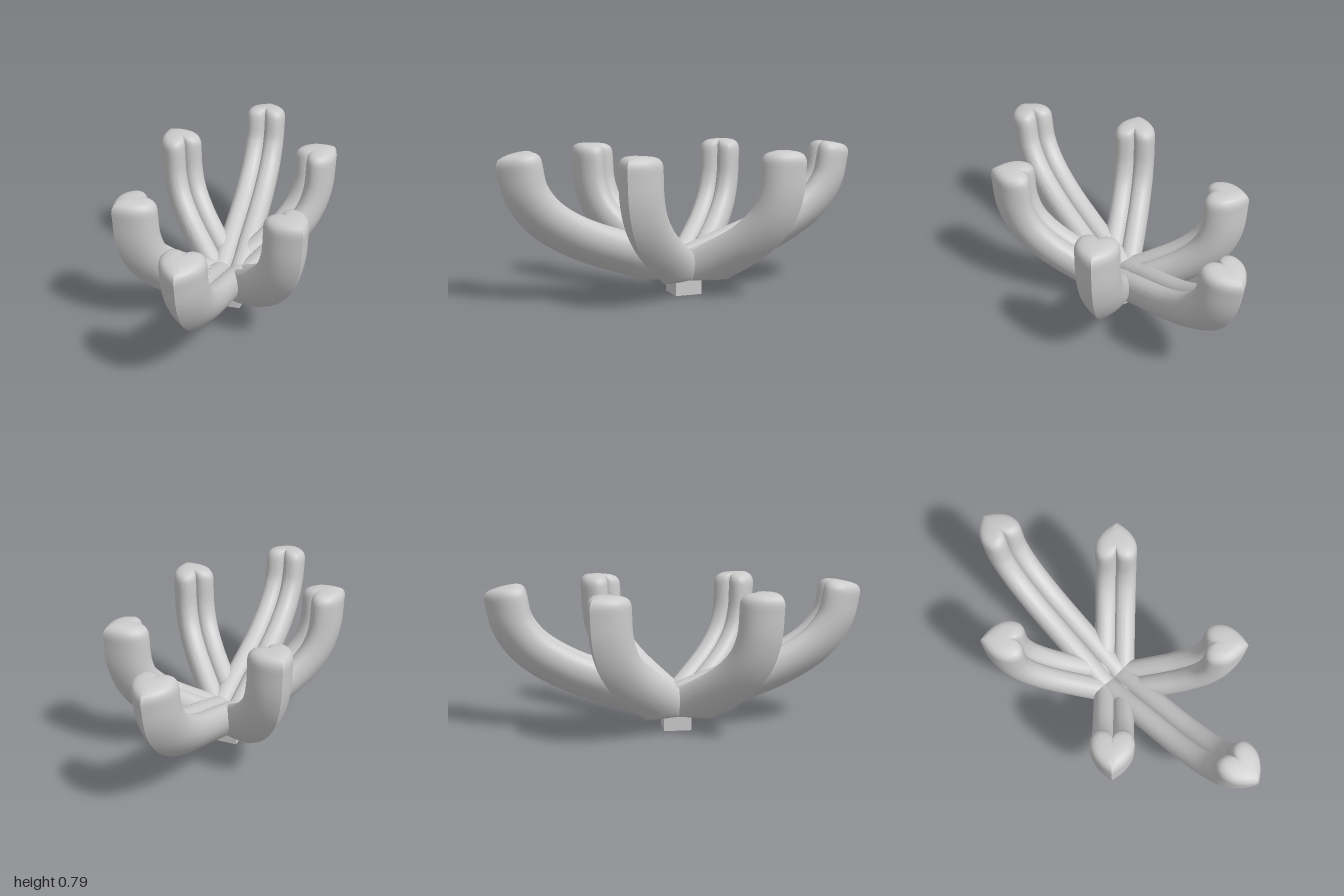
import * as THREE from 'three';
import { toCreasedNormals } from 'three/addons/utils/BufferGeometryUtils.js';

const FLOOR = 0.09; // flat underside shared by all arms

// Heart section: x = sideways, y = outward; pointed keel outward, two lobes inward
function heartSection() {
  const s = new THREE.Shape();
  s.moveTo(0, 0.11);
  s.bezierCurveTo(0.045, 0.085, 0.11, 0.03, 0.11, -0.035);
  s.bezierCurveTo(0.11, -0.08, 0.09, -0.11, 0.055, -0.11);
  s.bezierCurveTo(0.03, -0.11, 0.008, -0.1, 0, -0.075);
  const half = s.getPoints(10);
  const mirrored = half.slice(1, -1).reverse().map((p) => new THREE.Vector2(-p.x, p.y));
  return [...half, ...mirrored];
}

// Sweep the heart along a path of [radius, height] points, with a domed tip
function armGeometry(path, endTangent) {
  const section = heartSection();
  const n = section.length;
  const curve = new THREE.CatmullRomCurve3(path.map(([r, y]) => new THREE.Vector3(0, y, r)));
  const positions = [], index = [];

  const addRing = (c, t, scale) => {
    for (const p of section) {
      const u = p.y * scale;
      positions.push(
        p.x * scale,
        Math.max(FLOOR, c.y - t.z * u),
        Math.max(0, c.z + t.y * u)
      );
    }
  };

  // Body
  const steps = 48;
  const end = new THREE.Vector3(0, endTangent[1], endTangent[0]).normalize();
  for (let i = 0; i <= steps; i++) {
    const k = i / steps;
    const t = curve.getTangentAt(k);
    if (k > 0.85) t.lerp(end, (k - 0.85) / 0.15).normalize();
    addRing(curve.getPointAt(k), t, 1);
  }
  // Rounded tip: [scale, rise]
  const top = curve.getPointAt(1);
  const dome = [[0.98, 0.016], [0.93, 0.03], [0.84, 0.042], [0.68, 0.051], [0.4, 0.056], [0, 0.057]];
  for (const [scale, rise] of dome) addRing(top.clone().addScaledVector(end, rise), end, scale);

  const rings = steps + 1 + dome.length;
  for (let i = 0; i < rings - 1; i++) {
    for (let j = 0; j < n; j++) {
      const a = i * n + j, b = i * n + (j + 1) % n;
      index.push(a, b, b + n, a, b + n, a + n);
    }
  }
  const g = new THREE.BufferGeometry();
  g.setAttribute('position', new THREE.Float32BufferAttribute(positions, 3));
  g.setIndex(index);
  return toCreasedNormals(g, 0.6);
}

export function createModel() {
  const model = new THREE.Group();
  const material = new THREE.MeshStandardMaterial({ color: 0xcccccc, side: THREE.DoubleSide });

  const add = (name, geometry, angle = 0) => {
    const mesh = new THREE.Mesh(geometry, material);
    mesh.name = name;
    mesh.rotation.y = angle;
    model.add(mesh);
    return mesh;
  };

  // Two long arms, front and back
  const longArm = armGeometry(
    [[-0.12, 0.075], [0, 0.12], [0.218, 0.2], [0.575, 0.333], [0.766, 0.457], [0.858, 0.585], [0.89, 0.727]],
    [0.18, 1]
  );
  add('frontArm', longArm);
  add('backArm', longArm, Math.PI);

  // Four shorter, steeper arms on the diagonals
  const shortArm = armGeometry(
    [[-0.1, 0.03], [0, 0.085], [0.178, 0.18], [0.39, 0.316], [0.5, 0.435], [0.55, 0.56], [0.565, 0.73]],
    [0, 1]
  );
  ['frontLeftArm', 'backLeftArm', 'backRightArm', 'frontRightArm'].forEach((name, i) =>
    add(name, shortArm, Math.PI / 4 + (i * Math.PI) / 2)
  );

  // Square peg underneath
  add('basePeg', new THREE.BoxGeometry(0.147, 0.1, 0.147)).position.y = 0.05;

  return model;
}
